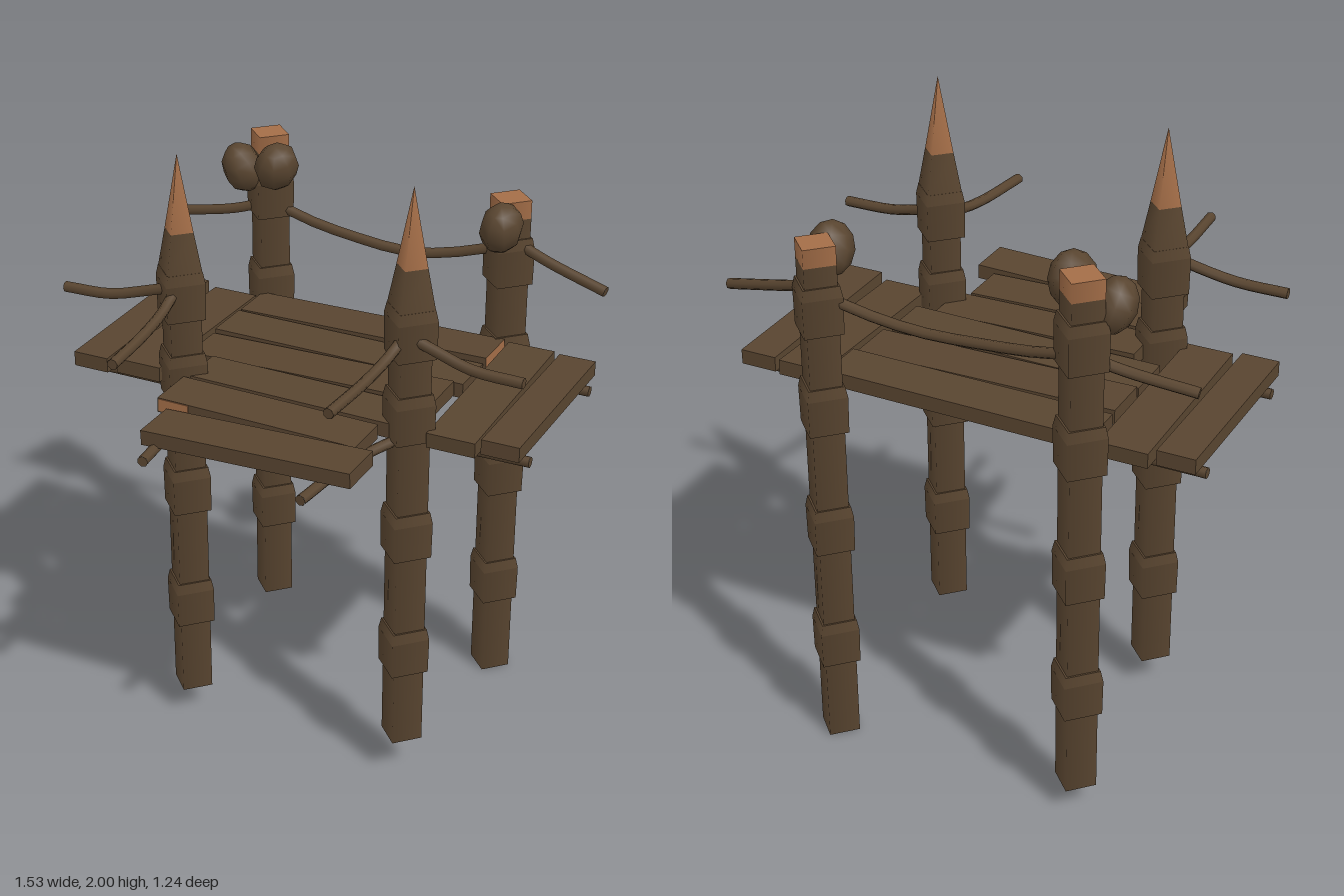
import * as THREE from 'three';

export function createModel() {
  const model = new THREE.Group();
  const bark = new THREE.MeshStandardMaterial({ color: 0x594530 });
  bark.name = 'dark bark';
  const cutWood = new THREE.MeshStandardMaterial({ color: 0xa46e48 });
  cutWood.name = 'cut wood';

  function add(parent, name, geometry, material = bark) {
    const mesh = new THREE.Mesh(geometry, material);
    mesh.name = name;
    parent.add(mesh);
    return mesh;
  }

  // Four-sided section of a post between two heights, corners on the x and z axes
  function section(post, name, y0, y1, r0, r1, material) {
    const g = new THREE.CylinderGeometry(r1, r0, y1 - y0, 4);
    add(post, name, g, material).position.y = (y0 + y1) / 2;
  }

  // Posts with wider bands; the front pair are sharpened, the back pair are sawn flat
  const posts = [
    { name: 'frontRightPost', x: -0.38, z: 0.155, y: 0.1, spike: true },
    { name: 'frontLeftPost', x: 0.385, z: 0.155, y: 0.13, spike: true },
    { name: 'backRightPost', x: -0.43, z: -0.535, y: 0.08 },
    { name: 'backLeftPost', x: 0.415, z: -0.535, y: 0 },
  ];
  for (const p of posts) {
    const post = new THREE.Group();
    post.name = p.name;
    post.position.set(p.x, p.y, p.z);
    model.add(post);
    section(post, 'shaft', 0, 1.5, 0.07, 0.07);
    const bands = p.spike ? [0.26, 0.68, 1.08, 1.35] : [0.28, 0.7, 1.12, 1.45];
    for (const y of bands) {
      section(post, 'band', y, y + 0.12, 0.085, 0.087);
      section(post, 'bandShoulder', y + 0.12, y + 0.155, 0.087, 0.078);
    }
    if (p.spike) {
      section(post, 'spikeBase', 1.5, 1.63, 0.078, 0.05);
      section(post, 'spikeTip', 1.63, 1.87, 0.05, 0.0005, cutWood);
    } else {
      section(post, 'shaftTop', 1.5, 1.67, 0.07, 0.07);
      section(post, 'sawnTop', 1.67, 1.73, 0.07, 0.07, cutWood);
    }
  }

  // Lumpy fruit hanging from the back posts
  const fruits = [
    [-0.495, 1.7, -0.465, 0.4],
    [-0.355, 1.735, -0.435, -0.4],
    [0.425, 1.665, -0.435, -0.2],
  ];
  for (const [x, y, z, turn] of fruits) {
    const fruit = add(model, 'fruit', new THREE.SphereGeometry(1, 8, 6));
    fruit.scale.set(0.066, 0.085, 0.078);
    fruit.position.set(x, y, z);
    fruit.rotation.set(0.35, turn, turn * 0.5);
  }

  // Deck boards: x0, x1, z0, z1, centre height, tilt about z, tilt about x
  const boards = [
    [-0.43, 0.44, -0.47, -0.315, 1.245, 0.01, 0],
    [-0.43, 0.435, -0.3, -0.14, 1.24, -0.01, 0],
    [-0.43, 0.41, -0.13, 0.03, 1.24, 0.015, 0],
    [-0.34, 0.35, 0.04, 0.195, 1.24, -0.015, 0],
    [-0.35, 0.31, 0.21, 0.37, 1.24, -0.02, 0],
    [-0.31, 0.375, 0.385, 0.54, 1.235, 0.03, 0],
    [-0.75, -0.63, -0.46, 0.2, 1.245, 0, 0.01],
    [-0.605, -0.45, -0.46, 0.185, 1.235, 0, -0.02],
    [0.455, 0.61, -0.47, 0.185, 1.235, 0, 0.025],
    [0.63, 0.75, -0.46, 0.19, 1.245, 0, -0.01],
  ];
  boards.forEach(([x0, x1, z0, z1, y, tiltZ, tiltX], i) => {
    const g = new THREE.BoxGeometry(x1 - x0, 0.048, z1 - z0);
    const materials = i === 0 ? [cutWood, bark, bark, bark, bark, bark] : bark;
    const board = add(model, 'deckBoard', g, materials);
    board.position.set((x0 + x1) / 2, y, (z0 + z1) / 2);
    board.rotation.set(tiltX, 0, tiltZ);
    if (i === 4) {
      // Split patch on the board's front corner
      const patch = add(board, 'splitPatch', new THREE.BoxGeometry(0.1, 0.04, 0.004), cutWood);
      patch.position.set(-0.275, 0.002, 0.081);
    }
  });

  // Branch: a thin closed tube through a few points
  function branch(name, points, radius = 0.017) {
    const pts = points.map((p) => new THREE.Vector3(...p));
    const curve = new THREE.CatmullRomCurve3(pts);
    const group = new THREE.Group();
    group.name = name;
    model.add(group);
    add(group, 'stem', new THREE.TubeGeometry(curve, 10, radius, 7));
    for (const t of [0, 1]) {
      const cap = add(group, 'cutEnd', new THREE.CircleGeometry(radius, 7));
      const at = curve.getPointAt(t);
      const out = curve.getTangentAt(t).multiplyScalar(t ? 1 : -1);
      cap.position.copy(at);
      cap.quaternion.setFromUnitVectors(new THREE.Vector3(0, 0, 1), out);
    }
  }

  // Poles carrying the deck
  branch('backBeam', [[-0.76, 1.195, -0.39], [0, 1.195, -0.385], [0.76, 1.195, -0.39]]);
  branch('frontBeam', [[-0.76, 1.195, 0.12], [0, 1.195, 0.125], [0.76, 1.195, 0.12]]);

  // Back handrail sagging between the posts
  branch('backRail', [
    [-0.43, 1.57, -0.54], [-0.3, 1.535, -0.525], [-0.12, 1.51, -0.51],
    [0.1, 1.497, -0.503], [0.27, 1.525, -0.52], [0.415, 1.57, -0.54],
  ]);

  for (const s of [-1, 1]) {
    // Poles under the front boards
    branch('frontJoist', [[s * 0.37, 1.2, 0.13], [s * 0.29, 1.195, 0.35], [s * 0.258, 1.195, 0.62]]);
    // Handrails running forward and out to each side
    branch('forwardRail', [
      [s * 0.385, 1.57, 0.14], [s * 0.37, 1.52, 0.27],
      [s * 0.36, 1.5, 0.4], [s * 0.345, 1.492, 0.62],
    ]);
    branch('frontSideRail', [
      [s * 0.36, 1.56, 0.18], [s * 0.48, 1.525, 0.19],
      [s * 0.6, 1.497, 0.205], [s * 0.76, 1.492, 0.21],
    ]);
    const lift = s > 0 ? 0.02 : 0;
    branch('backSideRail', [
      [s * 0.42, 1.57 + lift, -0.54], [s * 0.55, 1.53 + lift, -0.51],
      [s * 0.76, 1.497, -0.48],
    ]);
  }
  return model;
}
